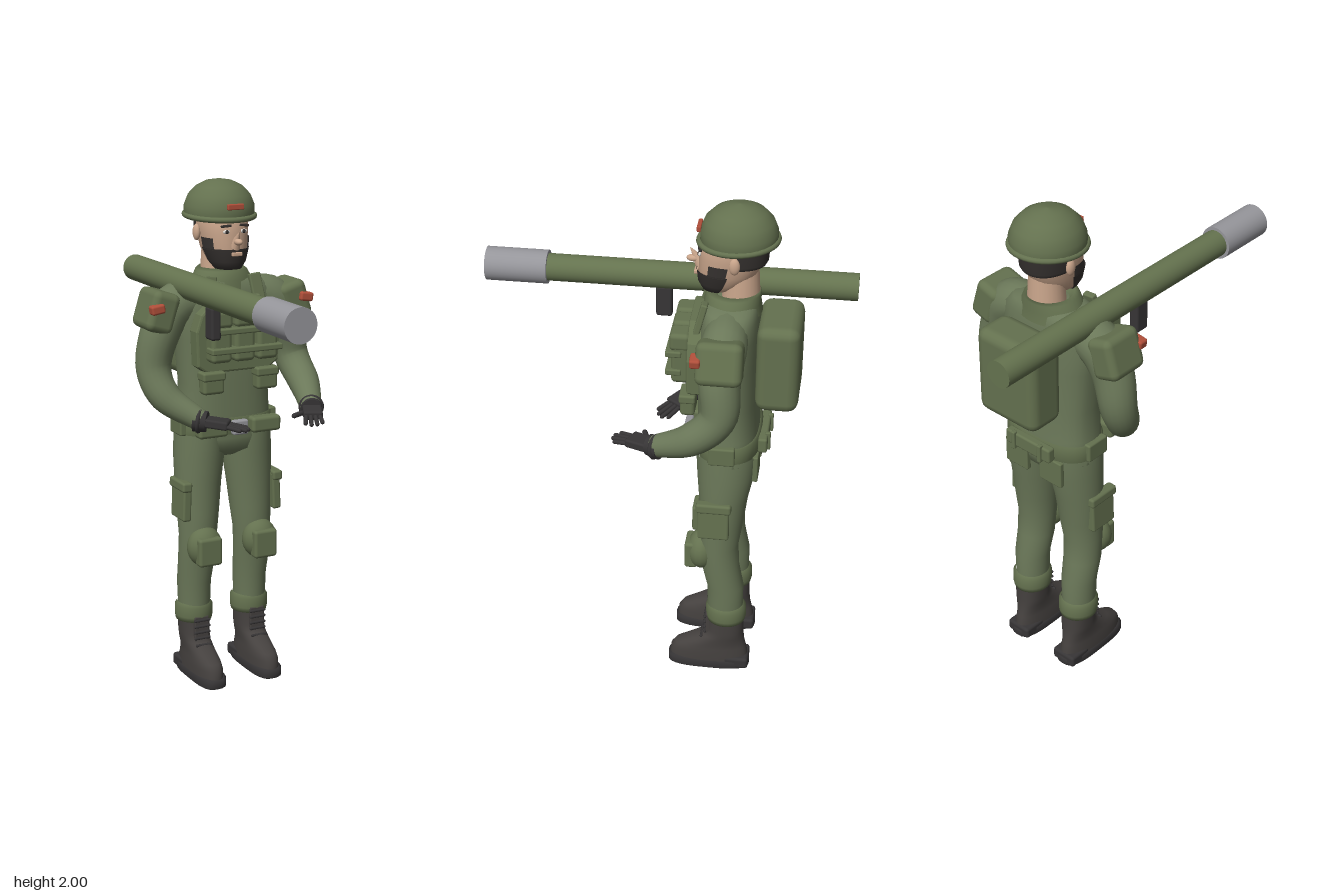
import * as THREE from 'three';
import { RoundedBoxGeometry } from 'three/addons/geometries/RoundedBoxGeometry.js';

const paint = (name, color) => Object.assign(new THREE.MeshStandardMaterial({ color }), { name });
const CX = -0.015; // mirror plane of the body

// Skins rows of points with smooth quads
function skin(rows, closed = true) {
  const n = rows[0].length, pos = [], idx = [];
  rows.forEach(r => r.forEach(p => pos.push(p.x, p.y, p.z)));
  for (let i = 0; i < rows.length - 1; i++) {
    for (let j = 0; j < (closed ? n : n - 1); j++) {
      const k = (j + 1) % n, a = i * n + j, b = i * n + k;
      idx.push(a, b, b + n, a, b + n, a + n);
    }
  }
  const g = new THREE.BufferGeometry();
  g.setAttribute('position', new THREE.Float32BufferAttribute(pos, 3));
  g.setIndex(idx);
  g.computeVertexNormals();
  return g;
}

// Horizontal rings [y, x, z, rx, rz]; e < 1 makes them boxier
function loft(rings, e = 1, from = 0, to = Math.PI * 2) {
  const closed = to - from > 6.2, n = 32;
  const pw = v => Math.sign(v) * Math.abs(v) ** e;
  return skin(rings.map(([y, x, z, rx, rz]) => Array.from({ length: closed ? n : n + 1 }, (_, j) => {
    const a = from + (to - from) * j / n;
    return new THREE.Vector3(x + rx * pw(Math.sin(a)), y, z + rz * pw(Math.cos(a)));
  })), closed);
}

// Tapered tube through [x, y, z, r]
function limb(pts) {
  const curve = new THREE.CatmullRomCurve3(pts.map(p => new THREE.Vector3(p[0], p[1], p[2])));
  const n = 28, f = curve.computeFrenetFrames(n);
  return skin(Array.from({ length: n + 1 }, (_, i) => {
    const t = curve.getUtoTmapping(i / n) * (pts.length - 1), k = Math.min(Math.floor(t), pts.length - 2);
    const r = THREE.MathUtils.lerp(pts[k][3], pts[k + 1][3], t - k), c = curve.getPointAt(i / n);
    return Array.from({ length: 20 }, (_, j) => {
      const a = j / 20 * Math.PI * 2;
      return c.clone().addScaledVector(f.normals[i], r * Math.cos(a)).addScaledVector(f.binormals[i], r * Math.sin(a));
    });
  }));
}

export function createModel() {
  const model = new THREE.Group();
  model.name = 'soldier';
  const cloth = paint('uniform green', 0x6b7859), gear = paint('gear green', 0x64714f);
  const tubeGreen = paint('launcher green', 0x65734f), metal = paint('grey metal', 0x96969b);
  const skinTone = paint('skin', 0xc9a58b), hair = paint('dark hair', 0x35312f);
  const boot = paint('boot charcoal', 0x45413f), glove = paint('glove black', 0x373536);
  const red = paint('red patch', 0xb04f3a), white = paint('eye white', 0xe4e0da);
  hair.side = THREE.DoubleSide;

  const add = (name, geo, mat, p = [0, 0, 0], r = [0, 0, 0], parent = model) => {
    const m = new THREE.Mesh(geo, mat);
    m.name = name;
    m.position.set(...p);
    m.rotation.set(...r);
    parent.add(m);
    return m;
  };
  const box = (name, mat, size, p, r, parent) =>
    add(name, new RoundedBoxGeometry(...size, 2, Math.min(...size) * 0.25), mat, p, r, parent);
  const ball = (name, mat, size, p) => add(name, new THREE.SphereGeometry(1, 20, 14), mat, p).scale.set(...size);

  // Torso, collar and belt
  add('torso', loft([
    [0.92, CX, -0.25, 0.05, 0.06], [0.95, CX, -0.25, 0.16, 0.105], [1.0, CX, -0.252, 0.2, 0.117], [1.1, CX, -0.248, 0.19, 0.115],
    [1.22, CX, -0.243, 0.182, 0.112], [1.4, CX, -0.243, 0.2, 0.115], [1.52, CX, -0.245, 0.215, 0.112],
    [1.58, CX, -0.247, 0.2, 0.105], [1.615, CX, -0.247, 0.16, 0.098], [1.635, CX, -0.25, 0.09, 0.08], [1.64, CX, -0.25, 0.001, 0.001],
  ], 0.8), cloth);
  add('collar', loft([[1.58, CX, -0.25, 0.14, 0.11], [1.62, CX, -0.25, 0.12, 0.104], [1.655, CX, -0.255, 0.1, 0.1],
    [1.665, CX, -0.26, 0.085, 0.09], [1.64, CX, -0.265, 0.07, 0.07]]), gear);
  add('belt', loft([[1.02, CX, -0.25, 0.19, 0.11], [1.02, CX, -0.25, 0.2, 0.125], [1.085, CX, -0.25, 0.198, 0.125],
    [1.085, CX, -0.25, 0.18, 0.11]], 0.8), gear);
  box('buckle', metal, [0.065, 0.058, 0.03], [CX, 1.055, -0.095]);
  box('backBelt', gear, [0.22, 0.06, 0.035], [CX, 1.055, -0.385]);

  // Chest plate with three magazine pouches and straps
  const plate = new THREE.Shape([[-0.09, 1.56], [-0.15, 1.5], [-0.17, 1.44], [-0.165, 1.31], [-0.13, 1.285],
    [0.13, 1.285], [0.165, 1.31], [0.17, 1.44], [0.15, 1.5], [0.09, 1.56]].reverse().map(p => new THREE.Vector2(...p)));
  add('chestPlate', new THREE.ExtrudeGeometry(plate, { depth: 0.05, bevelSize: 0.008, bevelThickness: 0.008, bevelSegments: 2 }), gear, [CX, 0, -0.16]);
  [-0.098, 0, 0.098].forEach(x => {
    box('magazinePouch', gear, [0.086, 0.19, 0.07], [CX + x, 1.42, -0.075]);
    box('pouchFlap', gear, [0.09, 0.07, 0.078], [CX + x, 1.495, -0.073]);
  });
  [1.375, 1.45].forEach(y => box('chestStrap', gear, [0.3, 0.024, 0.06], [CX, y, -0.05]));

  // Backpack
  box('backpack', gear, [0.28, 0.35, 0.16], [CX, 1.395, -0.43]);

  // Head, nose, ears, eyes, beard and hair
  const head = [[1.655, CX, -0.2, 0.001, 0.001], [1.665, CX, -0.2, 0.045, 0.055], [1.695, CX, -0.215, 0.066, 0.086], [1.74, CX, -0.232, 0.083, 0.108],
    [1.8, CX, -0.245, 0.091, 0.12], [1.86, CX, -0.25, 0.093, 0.123], [1.92, CX, -0.25, 0.06, 0.09]];
  const puff = (r, d) => r.map(([y, x, z, a, b]) => [y, x, z, a + d, b + d]);
  add('head', loft(head, 0.92), skinTone);
  add('neck', new THREE.CylinderGeometry(0.062, 0.072, 0.16, 24), skinTone, [CX, 1.69, -0.28]);
  add('beard', loft([...puff(head.slice(0, 3), 0.007), [1.745, CX, -0.232, 0.09, 0.116]], 0.92, -1.6, 1.6), hair);
  [-1, 1].forEach(s => add('sideburn', loft([[1.74, CX, -0.232, 0.089, 0.115], [1.785, CX, -0.241, 0.093, 0.122]], 0.92, s * 1.25 - 0.3, s * 1.25 + 0.3), hair));
  box('mouth', skinTone, [0.042, 0.015, 0.016], [CX, 1.727, -0.116]);
  add('hair', loft([[1.775, CX, -0.25, 0.088, 0.118], [1.79, CX, -0.25, 0.097, 0.126], [1.87, CX, -0.252, 0.099, 0.13]], 0.92, 1.7, 4.58), hair);
  const nose = add('nose', new THREE.ConeGeometry(0.02, 0.075, 12), skinTone, [CX, 1.787, -0.112], [0.6, 0, 0]);
  nose.scale.z = 1.3;
  ball('noseTip', skinTone, [0.015, 0.013, 0.025], [CX, 1.775, -0.104]);

  // Helmet
  add('helmet', loft([[1.862, CX, -0.268, 0.13, 0.135], [1.862, CX, -0.268, 0.137, 0.14], [1.9, CX, -0.268, 0.136, 0.14], [1.94, CX, -0.268, 0.12, 0.124],
    [1.972, CX, -0.268, 0.09, 0.093], [1.992, CX, -0.268, 0.05, 0.052], [2.0, CX, -0.268, 0.001, 0.001]]), gear);
  add('helmetLining', new THREE.CircleGeometry(0.135, 32), gear, [CX, 1.862, -0.268], [Math.PI / 2, 0, 0]);
  const rim = add('helmetRim', new THREE.TorusGeometry(0.133, 0.011, 10, 40), gear, [CX, 1.862, -0.266], [Math.PI / 2 + 0.05, 0, 0]);
  rim.scale.y = 1.06;
  box('helmetPatch', red, [0.068, 0.022, 0.016], [CX, 1.905, -0.126]);

  // Shoulder launcher
  const lx = -0.185, ly = 1.607, flat = [Math.PI / 2, 0, 0];
  add('launcherTube', new THREE.CylinderGeometry(0.052, 0.052, 1.2, 32), tubeGreen, [lx, ly, -0.1], flat);
  add('launcherMuzzle', new THREE.CylinderGeometry(0.064, 0.064, 0.235, 32), metal, [lx, ly, 0.5825], flat);
  box('launcherGrip', glove, [0.04, 0.125, 0.062], [lx, 1.5, 0.024]);

  [-1, 1].forEach(s => {
    const X = x => CX + s * x;
    const left = s > 0;

    // Face side
    ball('ear', skinTone, [0.014, 0.032, 0.02], [X(0.1), 1.8, -0.262]);
    ball('eye', white, [0.015, 0.008, 0.006], [X(0.036), 1.812, -0.131]);
    ball('iris', hair, [0.007, 0.008, 0.005], [X(0.036), 1.812, -0.127]);
    box('eyebrow', hair, [0.04, 0.009, 0.012], [X(0.038), 1.834, -0.131], [0, s * 0.2, s * -0.1]);

    // Vest straps and pouches
    box('vestStrap', gear, [0.05, 0.14, 0.025], [X(0.1), 1.575, -0.142], [-0.25, 0, s * 0.1]);
    box('waistPouch', gear, [0.09, 0.085, 0.055], [X(0.115), 1.24, -0.105]);
    box('waistPouchFlap', gear, [0.096, 0.035, 0.062], [X(0.115), 1.268, -0.104]);
    box('beltPouch', gear, [0.125, 0.062, 0.055], [X(0.115), 1.055, -0.11]);
    box('hipPouch', gear, [0.03, 0.075, 0.1], [X(0.195), 1.055, -0.24]);
    box('beltLoop', gear, [0.018, 0.075, 0.02], [X(0.065), 1.055, -0.402]);
    box('backPocket', gear, [0.11, 0.11, 0.022], [X(0.085), 0.965, -0.362]);

    // Sleeve and shoulder pad
    const wrist = left ? [0.25, 1.125, 0] : [-0.185, 1.1, -0.09];
    const mid = left ? [0.292, 1.195, -0.14, 0.062] : [-0.292, 1.19, -0.185, 0.062];
    add('sleeve', limb([[X(0.1), 1.55, -0.243, 0.078], [X(0.21), 1.525, -0.24, 0.086], [X(0.27), 1.43, -0.235, 0.078],
      [X(0.3), 1.29, -0.235, 0.069], mid, [...wrist, 0.042]]), cloth);
    box('shoulderPad', gear, [0.115, 0.16, 0.17], [X(0.285), 1.515, -0.235], [0, 0, s * 0.3]);
    box('shoulderPatch', red, [0.056, 0.036, 0.04], [X(0.318), 1.535, -0.152], [0, 0, s * -0.15]);

    // Gloved hand, built along +z and turned to its direction
    const hand = new THREE.Group();
    hand.name = left ? 'leftHand' : 'rightHand';
    hand.position.set(...wrist);
    add('gloveCuff', new THREE.CylinderGeometry(0.04, 0.045, 0.05, 20), glove, [0, 0, 0], flat, hand);
    add('wristBand', new THREE.TorusGeometry(0.041, 0.009, 8, 24), glove, [0, 0, -0.005], [0, 0, 0], hand);
    box('palm', glove, [0.075, 0.034, 0.095], [0, 0, 0.065], [0, 0, 0], hand);
    [0.062, 0.075, 0.07, 0.05].forEach((len, i) => {
      const fx = -s * (0.03 - i * 0.02);
      add('finger', new THREE.CapsuleGeometry(0.0085, len, 4, 10), glove, [fx, -0.006, 0.11 + len / 2], [Math.PI / 2 + 0.1, 0, -fx * 3], hand);
    });
    add('thumb', new THREE.CapsuleGeometry(0.01, 0.05, 4, 10), glove, [-s * 0.055, -0.004, 0.075], [Math.PI / 2, 0, s * 0.75], hand);
    hand.lookAt(...(left ? [0.165, 1.11, 0.18] : [-0.03, 1.08, 0.03]));
    model.add(hand);

    // Leg, cargo pocket, knee pad
    add('trouserLeg', loft([[0.25, X(0.125), -0.262, 0.062, 0.07], [0.4, X(0.125), -0.26, 0.068, 0.072], [0.5, X(0.123), -0.238, 0.074, 0.074],
      [0.6, X(0.12), -0.23, 0.076, 0.077], [0.7, X(0.116), -0.236, 0.084, 0.086], [0.82, X(0.112), -0.243, 0.093, 0.094],
      [0.93, X(0.104), -0.25, 0.1, 0.11], [1.02, X(0.1), -0.25, 0.1, 0.115]]), cloth);
    box('cargoPocket', gear, [0.035, 0.15, 0.12], [X(0.197), 0.753, -0.215], [0, 0, s * 0.04]);
    box('cargoFlap', gear, [0.042, 0.04, 0.135], [X(0.199), 0.818, -0.215], [0, 0, s * 0.04]);
    ball('kneePad', gear, [0.072, 0.082, 0.06], [X(0.122), 0.565, -0.165]);
    box('kneeShell', gear, [0.1, 0.115, 0.05], [X(0.122), 0.555, -0.125]);

    // Boot
    add('trouserCuff', loft([[0.235, X(0.125), -0.266, 0.055, 0.06], [0.235, X(0.125), -0.266, 0.072, 0.076], [0.255, X(0.125), -0.266, 0.076, 0.08],
      [0.295, X(0.125), -0.265, 0.076, 0.08], [0.31, X(0.125), -0.263, 0.066, 0.07]]), gear);
    add('boot', loft([[0.03, X(0.125), -0.2, 0.056, 0.158], [0.07, X(0.125), -0.2, 0.056, 0.155], [0.095, X(0.125), -0.206, 0.053, 0.143],
      [0.12, X(0.125), -0.228, 0.052, 0.115], [0.15, X(0.125), -0.256, 0.055, 0.083], [0.18, X(0.125), -0.266, 0.058, 0.071],
      [0.26, X(0.125), -0.266, 0.06, 0.072]], 0.85), boot);
    add('sole', loft([[0, X(0.125), -0.2, 0.001, 0.001], [0, X(0.125), -0.2, 0.054, 0.158], [0.006, X(0.125), -0.2, 0.06, 0.165],
      [0.036, X(0.125), -0.2, 0.06, 0.165], [0.04, X(0.125), -0.2, 0.05, 0.15]], 0.65), glove);
    box('heel', glove, [0.108, 0.05, 0.1], [X(0.125), 0.032, -0.312]);
    box('tongue', boot, [0.062, 0.12, 0.02], [X(0.125), 0.2, -0.196]);
    for (let i = 0; i < 5; i++) {
      add('lace', new THREE.CapsuleGeometry(0.006, 0.06, 4, 8), glove, [X(0.125), 0.145 + i * 0.025, i ? -0.184 : -0.17], [0, 0, Math.PI / 2]);
    }
  });
  return model;
}
